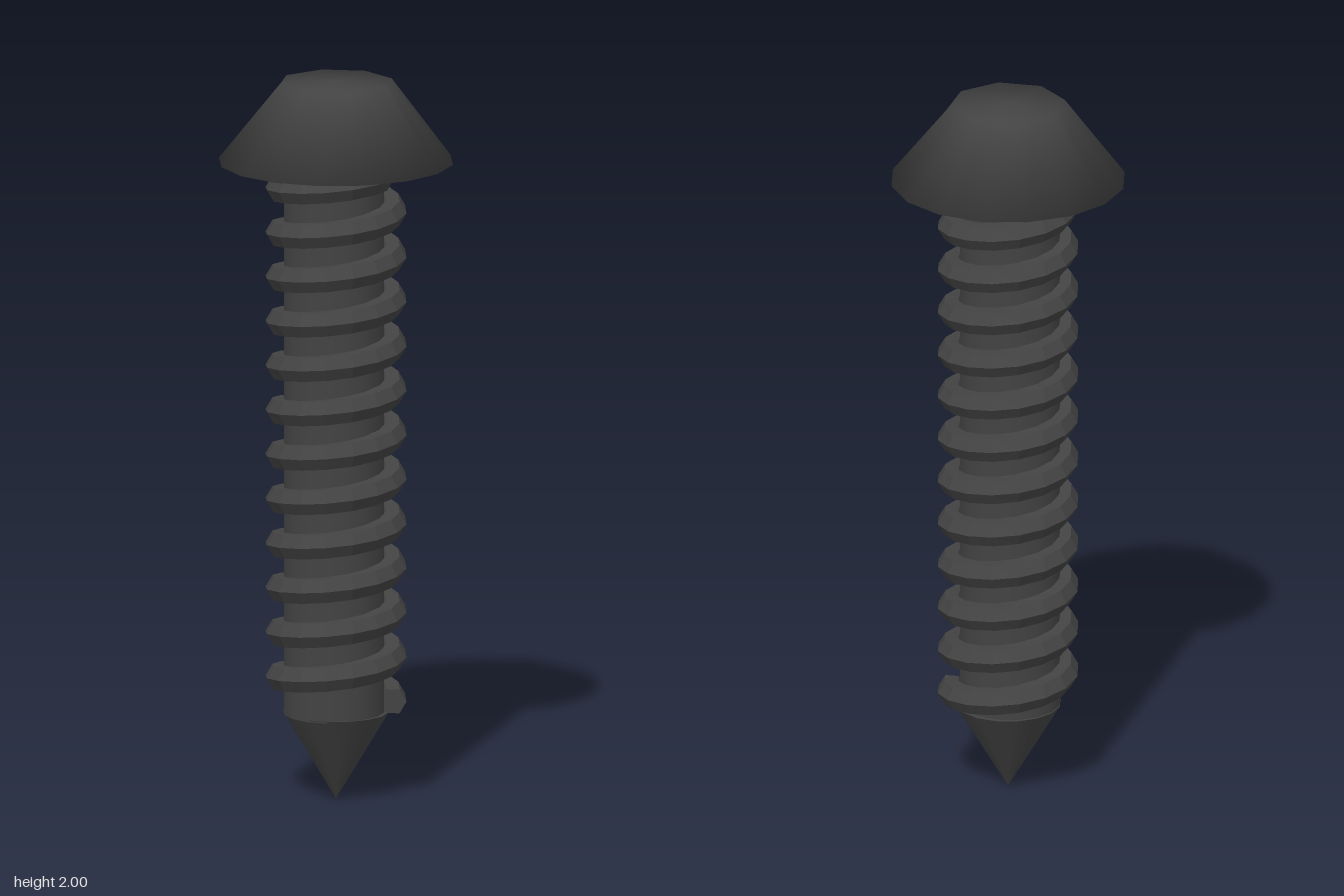
import * as THREE from 'three';
import { mergeVertices } from 'three/addons/utils/BufferGeometryUtils.js';

// Sixteen-sided rim narrowing to an eight-sided top, shaded smoothly over its edges
function headGeometry(topRadius, rimRadius, height) {
  const g = new THREE.CylinderGeometry(topRadius, rimRadius, height, 16);
  const p = g.attributes.position;
  const shrink = Math.cos(Math.PI / 8);
  for (let i = 0; i < p.count; i++) {
    const x = p.getX(i), z = p.getZ(i);
    if (p.getY(i) < 0 || Math.hypot(x, z) < 0.01) continue;
    // Every second top corner sinks onto the line between its neighbours
    const corner = Math.round(Math.atan2(x, z) / (Math.PI / 8));
    if (corner % 2 === 0) p.setXYZ(i, x * shrink, p.getY(i), z * shrink);
  }
  g.deleteAttribute('normal');
  g.deleteAttribute('uv');
  const merged = mergeVertices(g, 1e-4);
  merged.computeVertexNormals();
  return merged;
}

// Right-handed helical ridge with a six-sided section, capped at both ends
function threadGeometry({ radius, size, startY, pitch, perTurn, turns }) {
  const sides = 6, pos = [], index = [];
  const steps = Math.ceil(turns * perTurn);
  for (let i = 0; i <= steps; i++) {
    const turn = Math.min(i / perTurn, turns);
    const a = turn * Math.PI * 2;
    for (let j = 0; j < sides; j++) {
      const b = (j / sides) * Math.PI * 2;
      const r = radius + size * Math.cos(b);
      pos.push(r * Math.cos(a), startY + turn * pitch + size * Math.sin(b), -r * Math.sin(a));
    }
  }
  for (let i = 0; i < steps; i++) {
    for (let j = 0; j < sides; j++) {
      const p = i * sides + j, q = i * sides + (j + 1) % sides;
      index.push(p, p + sides, q, q, p + sides, q + sides);
    }
  }
  // End caps
  const last = steps * sides;
  for (let j = 1; j < sides - 1; j++) {
    index.push(0, j, j + 1, last, last + j + 1, last + j);
  }
  const g = new THREE.BufferGeometry();
  g.setAttribute('position', new THREE.Float32BufferAttribute(pos, 3));
  g.setIndex(index);
  const flat = g.toNonIndexed();
  flat.computeVertexNormals();
  return flat;
}

export function createModel() {
  const group = new THREE.Group();
  const steel = new THREE.MeshStandardMaterial({ color: 0x434343 });
  steel.name = 'dark steel';

  const add = (name, geometry, x, y, z) => {
    const mesh = new THREE.Mesh(geometry, steel);
    mesh.name = name;
    mesh.position.set(x, y, z);
    group.add(mesh);
  };

  // Tapered head
  add('head', headGeometry(0.157, 0.322, 0.222), 0, 1.889, 0);

  // Shaft, a hair off centre, stopping just below the head
  add('shaft', new THREE.CylinderGeometry(0.138, 0.138, 1.53, 16), -0.005, 1.005, 0.005);

  // Pointed tip
  add('tip', new THREE.CylinderGeometry(0.145, 0, 0.245, 16), 0, 0.1225, 0);

  // Helical thread of nearly twelve turns
  add('thread', threadGeometry({
    radius: 0.156, size: 0.038, startY: 0.276, pitch: 0.1238, perTurn: 16, turns: 11.92,
  }), 0, 0, 0);

  return group;
}
